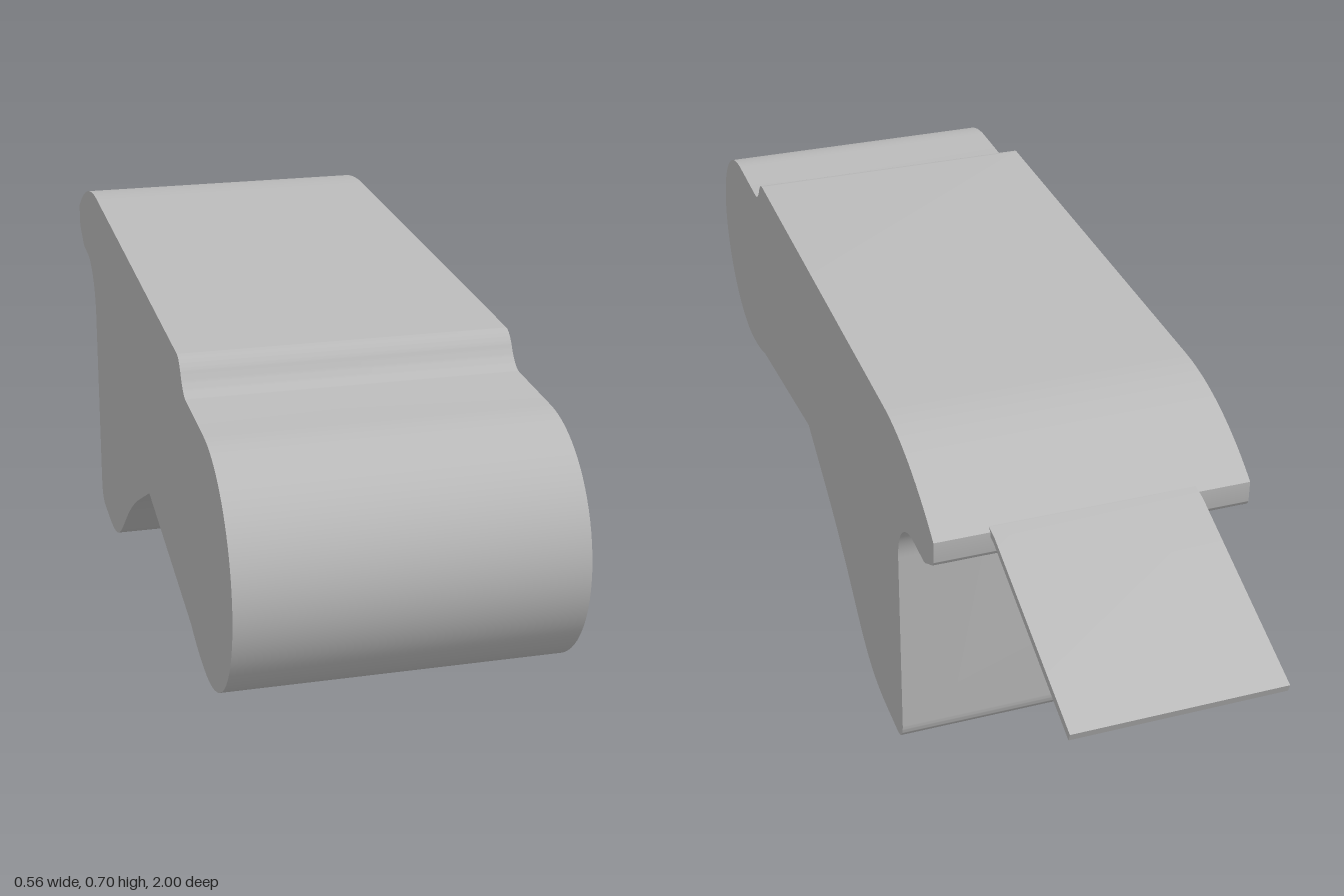
import * as THREE from 'three';
import { toCreasedNormals } from 'three/addons/utils/BufferGeometryUtils.js';

const grey = new THREE.MeshStandardMaterial({ color: 0xbcbcbc });
grey.name = 'light grey';

// Extrudes a side profile drawn in (z, y) across the width, centred on x = 0
function slab(name, shape, width) {
  const geometry = new THREE.ExtrudeGeometry(shape, { depth: width, bevelEnabled: false, curveSegments: 20 });
  geometry.translate(0, 0, -width / 2);
  geometry.rotateY(-Math.PI / 2);
  const mesh = new THREE.Mesh(toCreasedNormals(geometry, 0.5), grey);
  mesh.name = name;
  return mesh;
}

function bodyProfile() {
  const s = new THREE.Shape();
  // stepped top and round nose
  s.moveTo(0.57, 0.705);
  s.quadraticCurveTo(0.585, 0.705, 0.6, 0.685);
  s.quadraticCurveTo(0.62, 0.652, 0.645, 0.652);
  s.lineTo(0.79, 0.652);
  s.absarc(0.79, 0.442, 0.21, Math.PI / 2, -Math.PI / 2, true);
  // underside of the nose
  s.quadraticCurveTo(0.72, 0.234, 0.66, 0.255);
  s.lineTo(0.25, 0.31);
  // sloping front of the leg and its rounded foot
  s.lineTo(0.12, 0.237);
  s.bezierCurveTo(-0.12, 0.1, -0.12, 0, -0.3, 0);
  s.lineTo(-0.37, 0);
  s.quadraticCurveTo(-0.41, 0, -0.41, 0.045);
  // back of the leg and overhanging rear lip
  s.lineTo(-0.41, 0.43);
  s.bezierCurveTo(-0.41, 0.49, -0.455, 0.534, -0.51, 0.534);
  s.lineTo(-0.56, 0.534);
  s.quadraticCurveTo(-0.575, 0.533, -0.587, 0.543);
  s.lineTo(-0.612, 0.557);
  s.quadraticCurveTo(-0.625, 0.563, -0.625, 0.575);
  s.lineTo(-0.625, 0.61);
  s.bezierCurveTo(-0.54, 0.67, -0.44, 0.705, -0.34, 0.705);
  s.closePath();
  return s;
}

// Thin plate with a short level root, then sloping down
function tailProfile() {
  return new THREE.Shape([
    [-0.61, 0.617], [-0.645, 0.613], [-1, 0.488], [-0.995, 0.473], [-0.643, 0.599], [-0.61, 0.603],
  ].map(([z, y]) => new THREE.Vector2(z, y)));
}

export function createModel() {
  const model = new THREE.Group();
  model.name = 'model';
  model.add(slab('body', bodyProfile(), 0.563), slab('tailPlate', tailProfile(), 0.368));
  return model;
}
